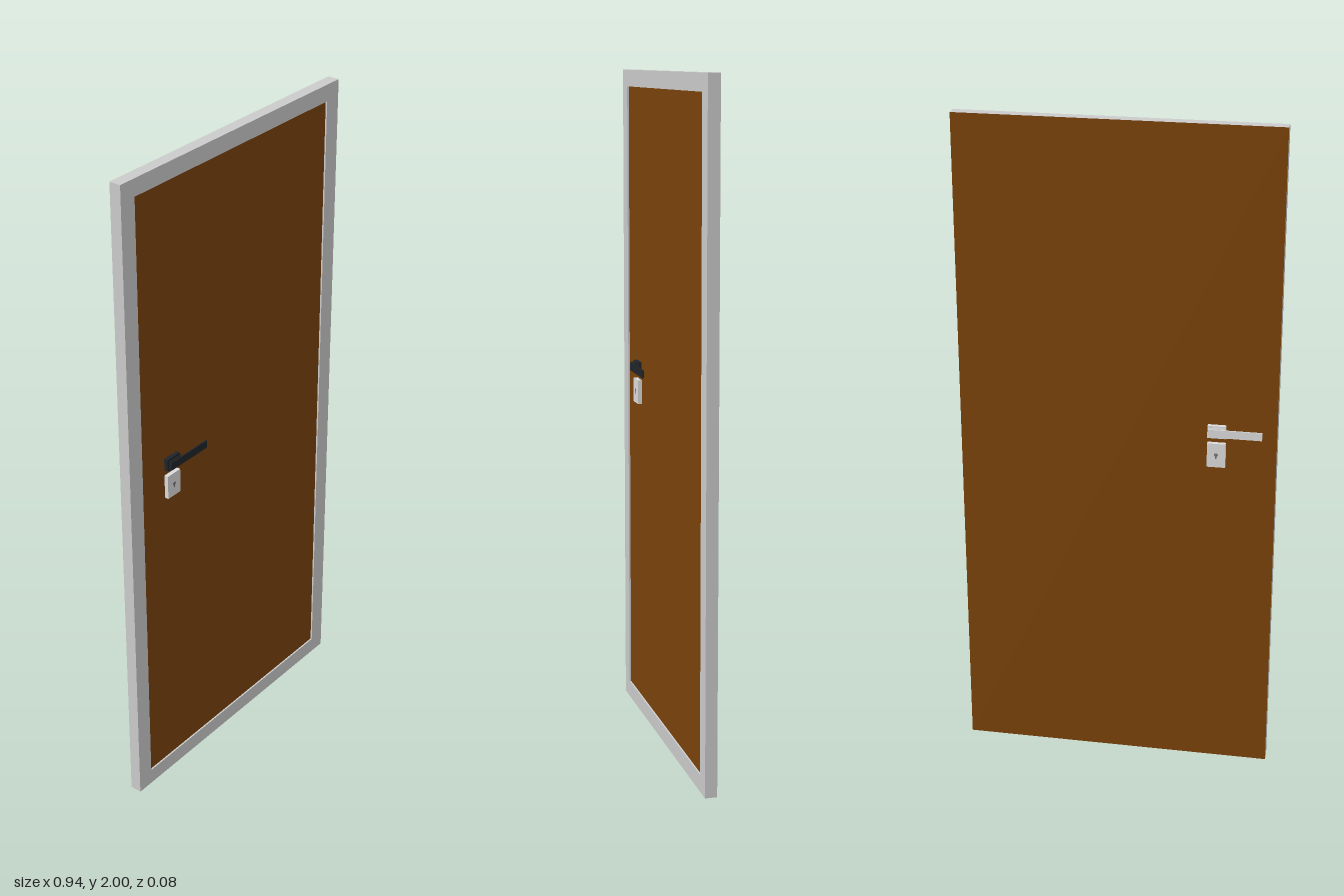
import * as THREE from 'three';

export function createModel() {
  const mat = (name, color, extra) => new THREE.MeshStandardMaterial({ name, color, ...extra });
  const frameGrey = mat('frameGrey', 0xcbcbcb);
  const brown = mat('woodBrown', 0x7a420a);
  const black = mat('handleBlack', 0x20252a);
  const silver = mat('plateSilver', 0xdadada);
  const dark = mat('keyholeGrey', 0x777777);

  const root = new THREE.Group();
  root.name = 'door';
  const add = (parent, name, geometry, material, x = 0, y = 0, z = 0) => {
    const mesh = new THREE.Mesh(geometry, material);
    mesh.name = name;
    mesh.position.set(x, y, z);
    parent.add(mesh);
    return mesh;
  };
  const box = (w, h, d) => new THREE.BoxGeometry(w, h, d);

  const back = -0.016, front = 0.0195, recess = 0.005;
  const W = 0.936, H = 2, panelW = 0.83, panelH = 1.9;

  // Slab core: grey edges, brown back and front
  const coreD = front - recess - back;
  add(root, 'doorSlab', box(W, H, coreD),
    [frameGrey, frameGrey, frameGrey, frameGrey, brown, brown], 0, 1, back + coreD / 2);

  // Raised border around the recessed front panel
  const border = new THREE.Shape([[-W / 2, 0], [W / 2, 0], [W / 2, H], [-W / 2, H]]
    .map(p => new THREE.Vector2(...p)));
  const px = panelW / 2, py = (H - panelH) / 2;
  border.holes.push(new THREE.Path([[-px, py], [-px, H - py], [px, H - py], [px, py]]
    .map(p => new THREE.Vector2(...p))));
  add(root, 'frontBorder',
    new THREE.ExtrudeGeometry(border, { depth: recess, bevelEnabled: false }),
    frameGrey, 0, 0, front - recess);

  // Lever handle and lock plate, built outward along +z from the door face
  const handleSet = (name, material, surface, reach) => {
    const g = new THREE.Group();
    g.name = name;
    add(g, 'rosette', box(0.054, 0.038, surface), material, 0, 1.102, surface / 2);
    const neck = add(g, 'neck', new THREE.CylinderGeometry(0.009, 0.009, reach - surface, 16),
      material, 0, 1.102, (reach + surface) / 2);
    neck.rotation.x = Math.PI / 2;
    add(g, 'hub', box(0.05, 0.03, 0.004), material, 0, 1.102, reach - 0.006);
    add(g, 'lever', box(0.157, 0.024, 0.004), material, 0.0545, 1.102, reach - 0.002);
    add(g, 'lockPlate', box(0.054, 0.074, surface), silver, 0, 1.029, surface / 2);
    add(g, 'keyhole', new THREE.CircleGeometry(0.006, 16), dark, 0, 1.031, surface + 0.0006);
    add(g, 'keySlot', box(0.004, 0.012, 0.001), dark, 0, 1.025, surface + 0.0003);
    root.add(g);
    return g;
  };
  const frontZ = front - recess;
  handleSet('frontHandle', black, 0.0125, 0.0245).position.set(-0.29, 0, frontZ);
  const rear = handleSet('backHandle', silver, 0.0135, 0.025);
  rear.position.set(-0.294, 0, back);
  rear.rotation.y = Math.PI;

  return root;
}
